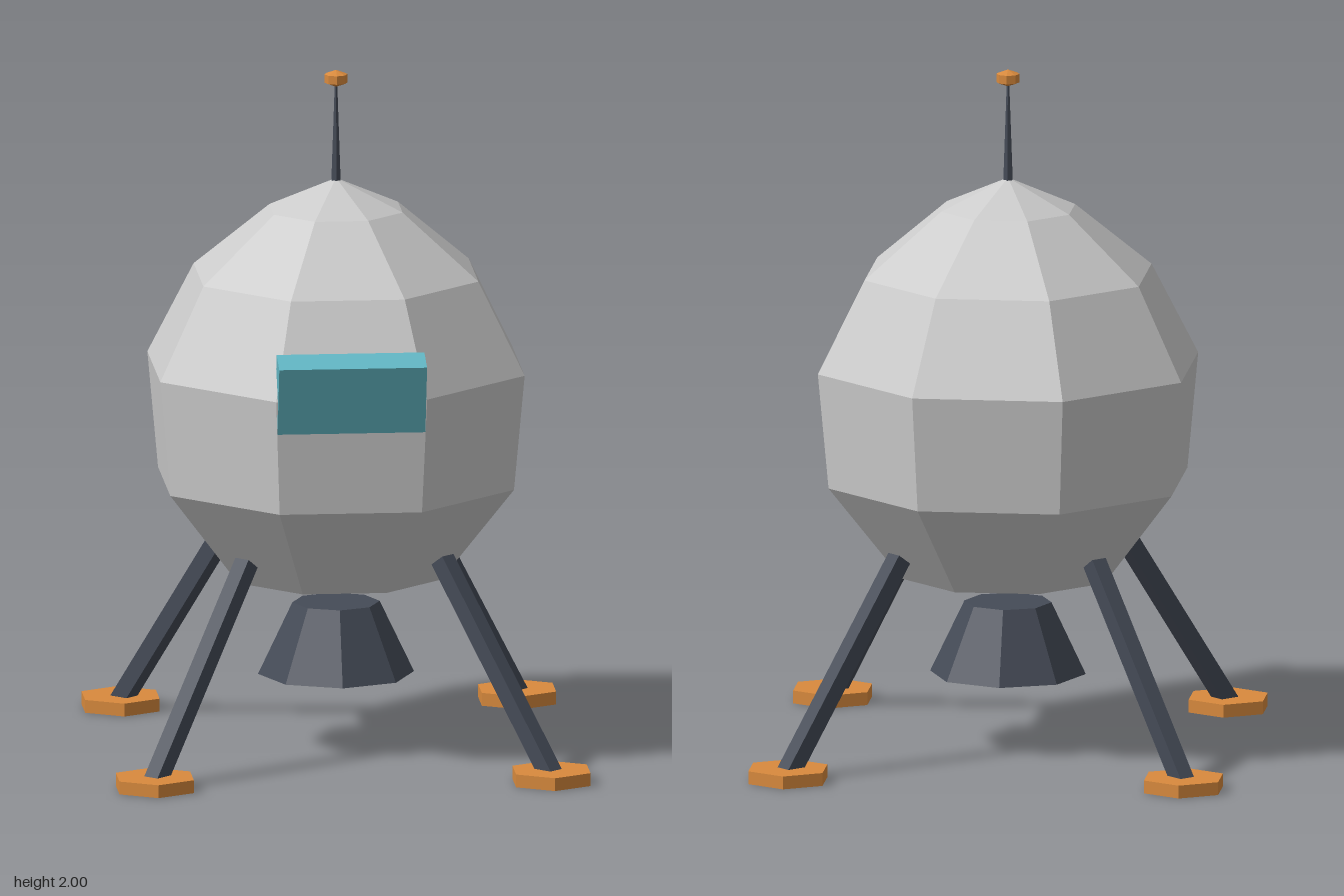
import * as THREE from 'three';

const paint = (color) => new THREE.MeshStandardMaterial({ color, flatShading: true });

export function createModel() {
  const model = new THREE.Group();
  model.name = 'landerCapsule';

  const grey = paint(0xcccccc);
  const dark = paint(0x454b57);
  const orange = paint(0xd98a3d);
  const teal = paint(0x62b6c3);

  const add = (name, geometry, material, x = 0, y = 0, z = 0) => {
    const mesh = new THREE.Mesh(geometry, material);
    mesh.name = name;
    mesh.position.set(x, y, z);
    model.add(mesh);
    return mesh;
  };

  // Eight-sided hull with flat faces towards the axes: [distance to face, height]
  const toCorner = 1 / Math.cos(Math.PI / 8);
  const profile = [[0, 0.45], [0.295, 0.51], [0.5, 0.79], [0.53, 1.13], [0.4, 1.4], [0.187, 1.59], [0, 1.68]]
    .map(([r, y]) => new THREE.Vector2(r * toCorner, y));
  add('hull', new THREE.LatheGeometry(profile, 8, Math.PI / 8), grey);

  // Window block, tilted to look downwards and sunk into the hull
  add('window', new THREE.BoxGeometry(0.43, 0.24, 0.095), teal, 0, 1.133, 0.501).rotation.x = 0.28;

  // Engine nozzle with its glowing exhaust plate
  add('nozzle', new THREE.CylinderGeometry(0.127, 0.227, 0.21, 8), dark, 0, 0.32, 0);
  add('exhaust', new THREE.CylinderGeometry(0.16, 0.16, 0.01, 8), teal, 0, 0.215, 0);

  // Antenna with a small faceted tip
  add('antennaMast', new THREE.CylinderGeometry(0.004, 0.015, 0.29, 6), dark, 0, 1.815, 0);
  add('antennaTip', new THREE.SphereGeometry(0.039, 8, 3), orange, 0, 1.975, 0).scale.y = 0.64;

  // Four square struts on hexagonal foot pads
  for (const sx of [-1, 1]) {
    for (const sz of [-1, 1]) {
      const top = new THREE.Vector3(0.285 * sx, 0.605, 0.285 * sz);
      const foot = new THREE.Vector3(0.577 * sx, 0.02, 0.577 * sz);
      const leg = add('leg', new THREE.BoxGeometry(0.05, 0.05, top.distanceTo(foot)), dark);
      leg.position.lerpVectors(top, foot, 0.5);
      leg.lookAt(foot);
      add('footPad', new THREE.CylinderGeometry(0.125, 0.125, 0.038, 6), orange, foot.x, 0.019, foot.z);
    }
  }

  return model;
}
